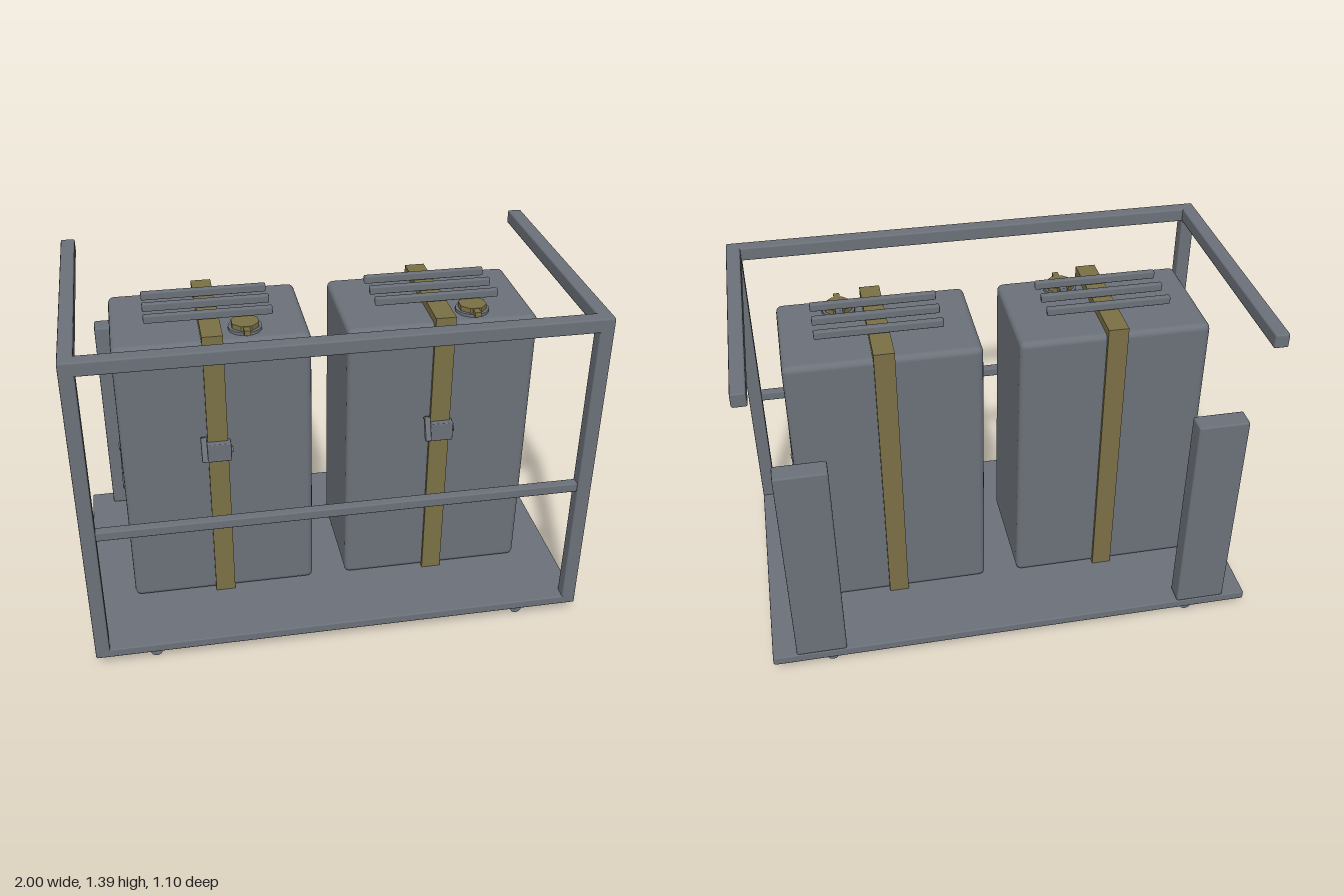
import * as THREE from 'three';
import { RoundedBoxGeometry } from 'three/addons/geometries/RoundedBoxGeometry.js';

const grey = new THREE.MeshStandardMaterial({ color: 0x6c727a });
grey.name = 'steel grey';
const olive = new THREE.MeshStandardMaterial({ color: 0x7b7046 });
olive.name = 'olive webbing';

function add(parent, name, geometry, material, x = 0, y = 0, z = 0) {
  const mesh = new THREE.Mesh(geometry, material);
  mesh.name = name;
  mesh.position.set(x, y, z);
  parent.add(mesh);
  return mesh;
}

// Box given by its extents, with softened edges when r > 0
function block(parent, name, material, [x0, x1], [y0, y1], [z0, z1], r = 0, seg = 1) {
  const size = [x1 - x0, y1 - y0, z1 - z0];
  const geo = r > 0 ? new RoundedBoxGeometry(...size, seg, r) : new THREE.BoxGeometry(...size);
  return add(parent, name, geo, material, (x0 + x1) / 2, (y0 + y1) / 2, (z0 + z1) / 2);
}

// One jerry can, centred on x = 0; side is the outward direction
function makeCan(side) {
  const can = new THREE.Group();
  can.name = side > 0 ? 'leftCan' : 'rightCan';
  block(can, 'canBody', grey, [-0.378, 0.378], [0.095, 1.268], [-0.24, 0.24], 0.025, 2);
  block(can, 'strap', olive, [-0.04, 0.04], [0.095, 1.3], [-0.255, 0.255]);

  // Triple carrying handle
  for (const z of [-0.103, 0, 0.103])
    block(can, 'handleBar', grey, [-0.247, 0.247], [1.303, 1.335], [z - 0.0125, z + 0.0125], 0.005);

  // Filler cap with collar, tab and hinge
  add(can, 'capCollar', new THREE.CylinderGeometry(0.066, 0.066, 0.02, 16), grey, 0.135, 1.27, 0.142);
  const cap = add(can, 'cap', new THREE.CylinderGeometry(0.056, 0.056, 0.04, 8).toNonIndexed(), olive, 0.135, 1.28, 0.142);
  cap.geometry.computeVertexNormals();
  cap.rotation.y = Math.PI / 8;
  block(can, 'capTab', olive, [0.123, 0.147], [1.278, 1.298], [0.17, 0.228]);
  block(can, 'capHinge', grey, [0.12, 0.15], [1.265, 1.308], [0.073, 0.097], 0.004);

  // Ratchet buckle on the strap
  block(can, 'buckle', grey, [-0.05, 0.05], [0.76, 0.84], [0.235, 0.28], 0.004);
  const pin = add(can, 'bucklePin', new THREE.CylinderGeometry(0.012, 0.012, 0.116, 10), grey, 0, 0.8, 0.257);
  pin.rotation.z = Math.PI / 2;
  const lever = add(can, 'buckleLever', new RoundedBoxGeometry(0.024, 0.1, 0.024, 1, 0.004), grey, -0.056, 0.822, 0.278);
  lever.rotation.x = -0.4;

  // Pressed cross on the outer face
  for (const s of [-1, 1]) {
    const rib = add(can, 'crossRib', new RoundedBoxGeometry(0.02, 0.024, 0.335, 1, 0.004), grey, side * 0.376, 0.683, 0);
    rib.rotation.x = s * 0.665;
  }
  return can;
}

export function createModel() {
  const model = new THREE.Group();
  model.name = 'canRack';

  // Base tray and front rails
  block(model, 'tray', grey, [-1, 1], [0.057, 0.095], [-0.55, 0.55], 0.006);
  block(model, 'topFrontRail', grey, [-1, 1], [1.338, 1.395], [0.493, 0.55], 0.007);
  block(model, 'middleRail', grey, [-0.95, 0.95], [0.628, 0.667], [0.503, 0.541], 0.005);

  for (const s of [-1, 1]) {
    const span = (a, b) => (s > 0 ? [a, b] : [-b, -a]);
    block(model, 'frontPost', grey, span(0.943, 1), [0.06, 1.395], [0.493, 0.55], 0.007);
    block(model, 'topSideArm', grey, span(0.943, 1), [1.338, 1.395], [-0.55, 0.55], 0.007);

    // Rear upright with latch knob
    block(model, 'rearPost', grey, span(0.7, 0.903), [0.095, 1.01], [-0.55, -0.468], 0.008);
    block(model, 'rearPostKnob', grey, span(0.783, 0.817), [0.887, 0.925], [-0.48, -0.445], 0.006);

    // Round runner under the tray
    const runner = add(model, 'runner', new THREE.CylinderGeometry(0.024, 0.024, 1.014, 16), grey, s * 0.76, 0.024, 0);
    runner.scale.set(1, 1, 1);
    runner.rotation.x = Math.PI / 2;
    block(model, 'runnerSeat', grey, span(0.75, 0.77), [0.04, 0.06], [-0.5, 0.5]);

    const can = makeCan(s);
    can.position.x = s * 0.448;
    model.add(can);
  }
  return model;
}
